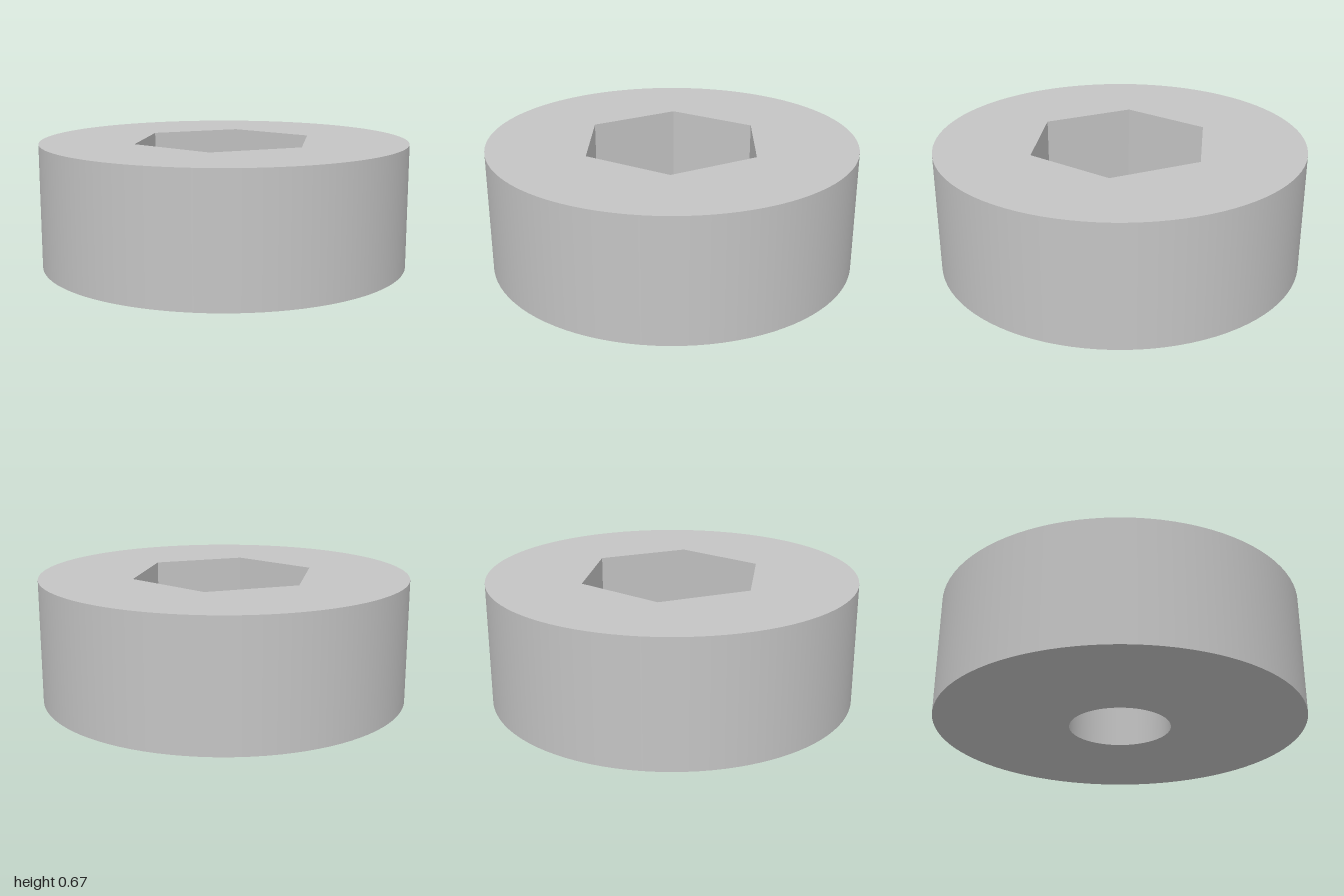
import * as THREE from 'three';

const HEIGHT = 0.67, FLOOR = 0.225;     // overall height, level of the pocket floor
const OUTER = 1, HEX = 0.51, BORE = 0.275;
const SEGMENTS = 96;

export function createModel() {
  const group = new THREE.Group();
  group.name = 'hexSocketCollar';
  const grey = new THREE.MeshStandardMaterial({ color: 0xc4c4c4 });
  grey.name = 'grey';

  const add = (name, geometry) => {
    const mesh = new THREE.Mesh(geometry, grey);
    mesh.name = name;
    group.add(mesh);
  };

  // Surface swept by one profile line; it faces to the right of its direction
  const sweep = (r0, y0, r1, y1, sides = SEGMENTS) => new THREE.LatheGeometry(
    [new THREE.Vector2(r0, y0), new THREE.Vector2(r1, y1)], sides, Math.PI / 2);

  // Regular polygon with a corner on +x
  const polygon = (radius, sides, PathType = THREE.Shape) => new PathType(
    Array.from({ length: sides }, (_, i) => {
      const a = (i / sides) * Math.PI * 2;
      return new THREE.Vector2(Math.cos(a) * radius, Math.sin(a) * radius);
    }));

  // Flat upward face with a hole
  const plate = (outline, hole, y) => {
    outline.holes.push(hole);
    return new THREE.ShapeGeometry(outline).rotateX(-Math.PI / 2).translate(0, y, 0);
  };

  // Round body
  add('outerWall', sweep(OUTER, 0, OUTER, HEIGHT));
  add('bottomFace', sweep(BORE, 0, OUTER, 0));
  add('topFace', plate(polygon(OUTER, SEGMENTS), polygon(HEX, 6, THREE.Path), HEIGHT));

  // Hexagonal pocket with flat walls
  const hexWalls = sweep(HEX, HEIGHT, HEX, FLOOR, 6).toNonIndexed();
  hexWalls.computeVertexNormals();
  add('hexPocketWalls', hexWalls);
  add('hexPocketFloor', plate(polygon(HEX, 6), polygon(BORE, SEGMENTS, THREE.Path), FLOOR));

  // Through bore below the pocket
  add('boreWall', sweep(BORE, FLOOR, BORE, 0));

  return group;
}
